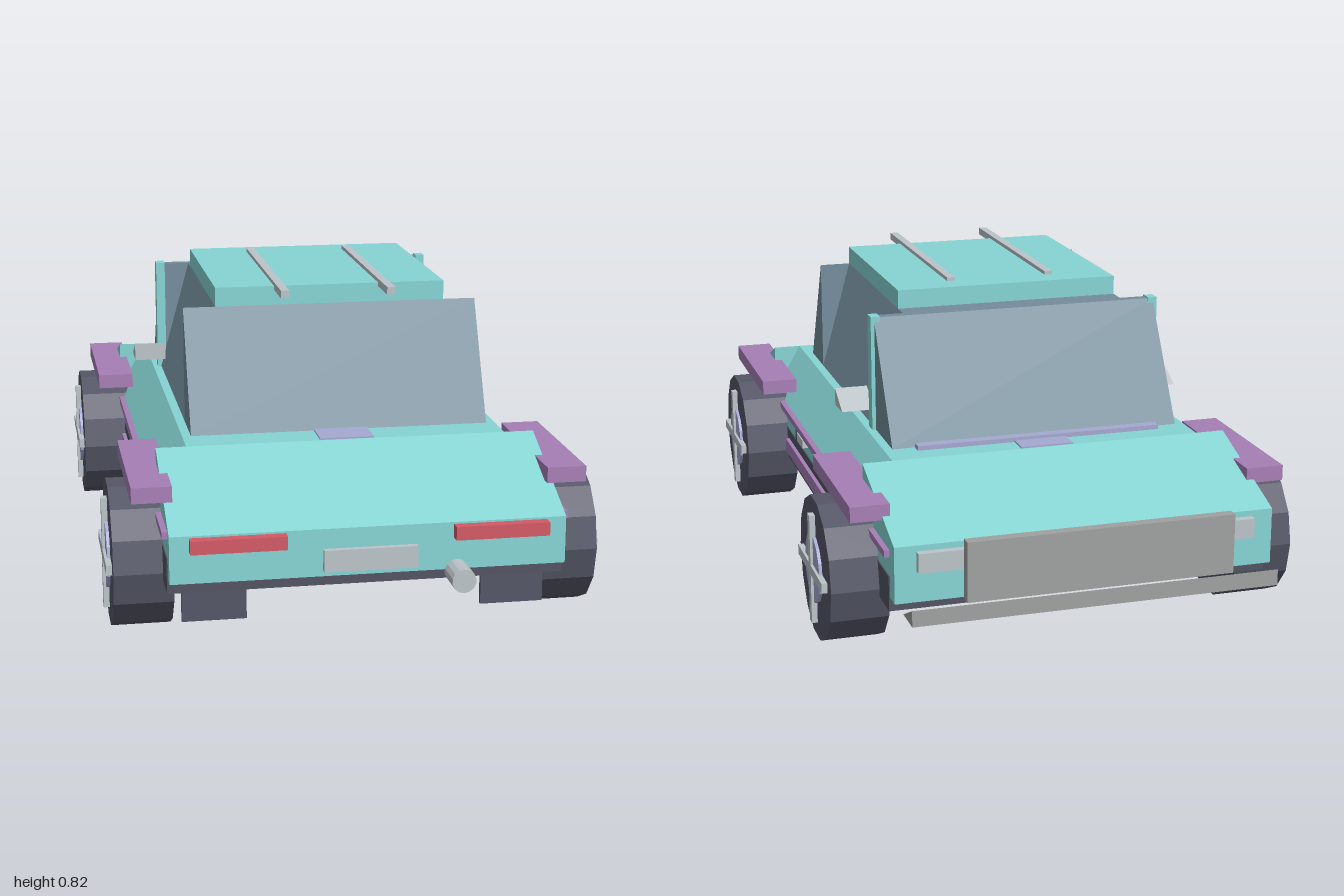
import * as THREE from 'three';

const mat = (name, color) => {
  const m = new THREE.MeshStandardMaterial({ color, flatShading: true });
  m.name = name;
  return m;
};

export function createModel() {
  const teal = mat('teal paint', 0x86d4d3);
  const dark = mat('dark trim', 0x525462);
  const tyreMat = mat('rubber', 0x545666);
  const glass = mat('glass', 0x748c9b);
  const purple = mat('purple trim', 0xa67fb5);
  const lavender = mat('lavender', 0xa5a9d0);
  const silver = mat('silver', 0xbcc4c9);
  const steel = mat('steel grey', 0x9fa1a2);
  const red = mat('tail red', 0xd25965);

  const car = new THREE.Group();
  car.name = 'car';
  const add = (name, geo, m, parent = car) => {
    const mesh = new THREE.Mesh(geo, m);
    mesh.name = name;
    parent.add(mesh);
    return mesh;
  };
  // Box given by its limits on each axis
  const box = (name, m, x0, x1, y0, y1, z0, z1, parent = car) => {
    const mesh = add(name, new THREE.BoxGeometry(x1 - x0, y1 - y0, z1 - z0), m, parent);
    mesh.position.set((x0 + x1) / 2, (y0 + y1) / 2, (z0 + z1) / 2);
    return mesh;
  };
  const extrude = (pts, depth) =>
    new THREE.ExtrudeGeometry(new THREE.Shape(pts.map(p => new THREE.Vector2(...p))), { depth, bevelEnabled: false });
  // (z, y) profile swept across x
  const across = (name, m, pts, x0, x1) =>
    add(name, extrude(pts, x1 - x0).translate(0, 0, -x1).rotateY(-Math.PI / 2), m);
  // (x, y) section swept along z
  const along = (name, m, pts, z0, z1) =>
    add(name, extrude(pts, z1 - z0).translate(0, 0, z0), m);

  // Body: lower hull, sloping ends and tapered shoulders
  box('lowerBody', teal, -0.49, 0.49, 0.205, 0.325, -0.89, 0.92);
  across('frontSlope', teal, [[-0.89, 0.325], [-0.57, 0.325], [-0.57, 0.46], [-0.89, 0.35]], -0.49, 0.49);
  across('rearSlope', teal, [[0.615, 0.325], [0.92, 0.325], [0.615, 0.46]], -0.49, 0.49);
  along('shoulders', teal, [[-0.49, 0.325], [0.49, 0.325], [0.413, 0.46], [-0.413, 0.46]], -0.57, 0.615);
  box('underbody', dark, -0.493, 0.493, 0.17, 0.26, -0.845, 0.885);

  // Cabin: tapered sides between full-width window wedges
  along('sideWindows', glass, [[-0.39, 0.46], [0.39, 0.46], [0.305, 0.765], [-0.305, 0.765]], -0.28, 0.37);
  across('windshield', glass, [[-0.48, 0.46], [-0.27, 0.46], [-0.27, 0.765], [-0.295, 0.765]], -0.39, 0.39);
  across('rearWindow', glass, [[0.37, 0.46], [0.52, 0.46], [0.37, 0.765]], -0.39, 0.39);
  box('roof', teal, -0.305, 0.305, 0.765, 0.815, -0.22, 0.37);

  // Deck details
  box('frontDeckPlate', lavender, -0.07, 0.07, 0.458, 0.464, -0.568, -0.48);
  box('rearDeckPlate', lavender, -0.07, 0.07, 0.458, 0.464, 0.515, 0.612);
  box('wiperBar', lavender, -0.33, 0.33, 0.46, 0.472, -0.51, -0.482);

  // Parts that repeat on both sides
  for (const s of [1, -1]) {
    const side = (name, m, a, b, ...rest) =>
      box(name, m, Math.min(s * a, s * b), Math.max(s * a, s * b), ...rest);
    side('pillar', teal, 0.375, 0.4, 0.46, 0.768, -0.302, -0.265);
    side('roofRail', silver, 0.128, 0.15, 0.805, 0.825, -0.15, 0.485);
    side('sideTrim', purple, 0.488, 0.504, 0.31, 0.328, -0.845, 0.89);
    side('sill', purple, 0.488, 0.504, 0.195, 0.233, -0.36, 0.4);
    for (const z of [0.275, -0.085]) side('doorSeam', dark, 0.488, 0.496, 0.26, 0.31, z - 0.008, z + 0.008);
    side('doorHandle', silver, 0.488, 0.506, 0.285, 0.308, 0.13, 0.212);
    side('mudFlap', tyreMat, 0.295, 0.455, 0.083, 0.19, 0.84, 0.852);
    side('tailLight', red, 0.207, 0.442, 0.286, 0.32, 0.915, 0.947);
    side('headlight', silver, 0.22, 0.435, 0.285, 0.335, -0.91, -0.885);

    const mx = [0.385 * s, 0.473 * s].sort((a, b) => a - b);
    across('mirror', silver, [[-0.265, 0.505], [-0.18, 0.5], [-0.18, 0.548]], ...mx);

    for (const [z, f0, f1] of [[0.605, 0.385, 0.82], [-0.56, -0.775, -0.34]]) {
      side('fender', purple, 0.47, 0.57, 0.38, 0.42, f0, f1);
      // Wheel with hub disc and cross spokes
      const wheel = new THREE.Group();
      wheel.name = 'wheel';
      wheel.position.set(s * 0.54, 0.19, z);
      car.add(wheel);
      const disc = (name, m, r, w, n, x) =>
        add(name, new THREE.CylinderGeometry(r, r, w, n).rotateZ(Math.PI / 2), m, wheel).position.x = s * x;
      disc('tyre', tyreMat, 0.188, 0.15, 14, 0);
      disc('hub', lavender, 0.09, 0.02, 14, 0.073);
      for (const [h, d] of [[0.29, 0.026], [0.026, 0.29]])
        add('spoke', new THREE.BoxGeometry(0.018, h, d), silver, wheel).position.x = s * 0.081;
    }
  }

  // Tail end: blank plate and exhaust
  box('rearPlate', silver, -0.117, 0.115, 0.22, 0.275, 0.921, 0.937);
  const pipe = add('exhaust', new THREE.CylinderGeometry(0.03, 0.03, 0.085, 14).rotateX(Math.PI / 2), silver);
  pipe.position.set(0.215, 0.2, 0.9575);

  // Nose end: grille, splitter and upright guard
  box('grille', dark, -0.147, 0.147, 0.235, 0.29, -0.92, -0.885);
  box('grillePlate', silver, -0.04, 0.04, 0.245, 0.28, -0.926, -0.918);
  across('splitter', steel, [[-0.98, 0.18], [-0.895, 0.18], [-0.98, 0.222]], -0.47, 0.47);
  box('frontGuard', steel, -0.34, 0.34, 0.235, 0.387, -1, -0.972);

  return car;
}
